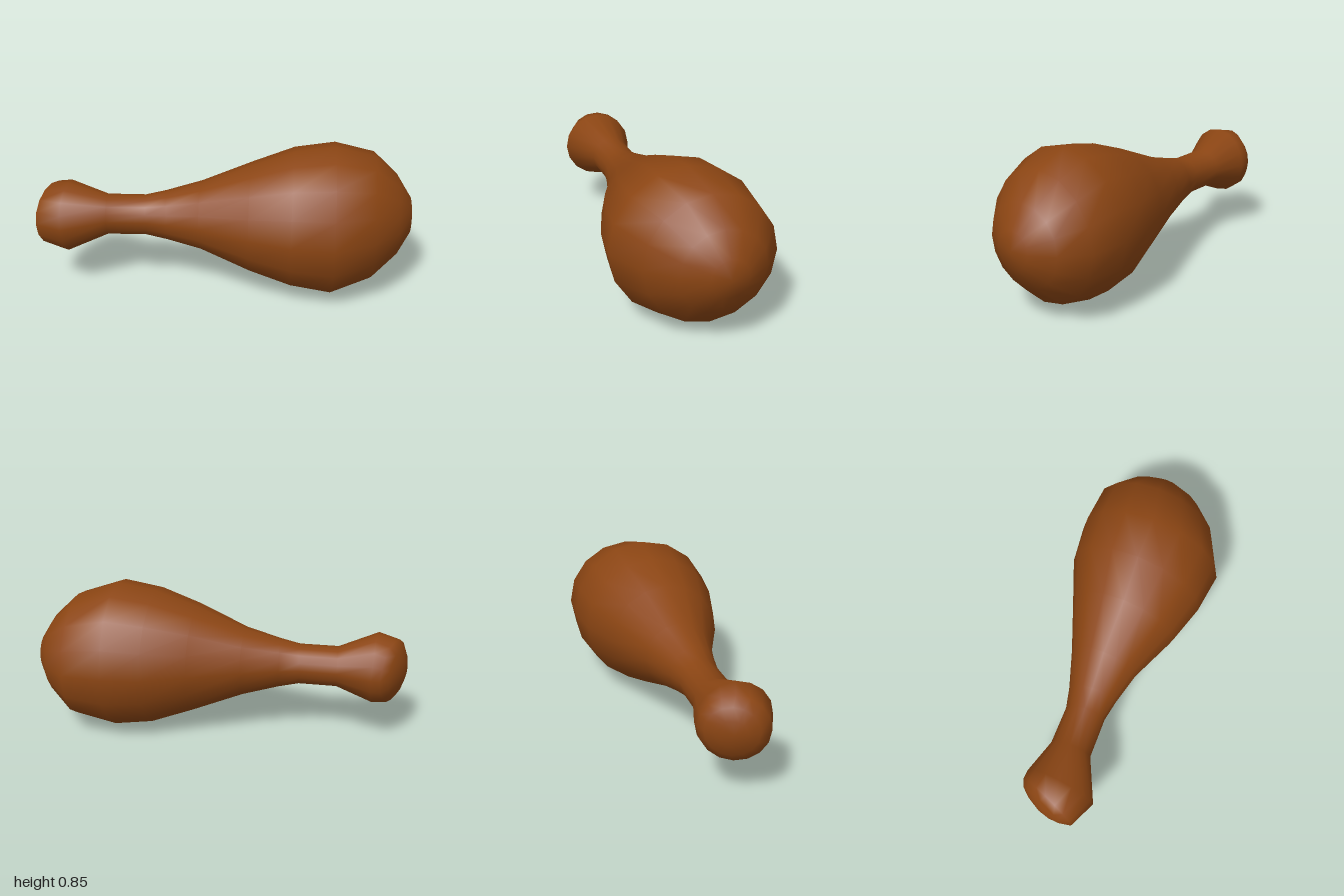
import * as THREE from 'three';
import { mergeVertices } from 'three/addons/utils/BufferGeometryUtils.js';

const SIDES = 16;
const CENTRE_Y = 0.427;

// Cross-sections from knuckle to meaty end:
// [front edge x, z, back edge x, z, vertical radius]
const RINGS = [
  [-1.0, 0.36, -1.0, 0.36, 0], // knuckle tip
  [-0.997, 0.43, -0.98, 0.27, 0.07],
  [-0.98, 0.49, -0.955, 0.215, 0.132],
  [-0.95, 0.545, -0.92, 0.185, 0.18],
  [-0.79, 0.565, -0.87, 0.172, 0.2], // widest part of the knuckle
  [-0.6, 0.39, -0.67, 0.172, 0.114], // thin shank
  [-0.39, 0.32, -0.47, 0.11, 0.114],
  [-0.27, 0.305, -0.37, 0.05, 0.14],
  [-0.08, 0.295, -0.19, -0.08, 0.195],
  [0.22, 0.328, 0.05, -0.27, 0.31],
  [0.46, 0.328, 0.25, -0.43, 0.393],
  [0.69, 0.29, 0.45, -0.52, 0.427], // fullest part of the meat
  [0.87, 0.12, 0.67, -0.57, 0.36],
  [0.965, -0.05, 0.83, -0.5, 0.228],
  [1.0, -0.2, 0.94, -0.4, 0.105],
  [0.985, -0.305, 0.985, -0.305, 0], // rounded tip
];

// Skin a row of tilted elliptical rings with smooth, shared vertices
function loftRings(rings) {
  const positions = [];
  const index = [];
  rings.forEach(([ax, az, bx, bz, ry], i) => {
    for (let j = 0; j < SIDES; j++) {
      const a = (j / SIDES) * Math.PI * 2;
      const c = Math.cos(a) / 2;
      positions.push(
        (ax + bx) / 2 + (ax - bx) * c,
        CENTRE_Y + Math.sin(a) * ry,
        (az + bz) / 2 + (az - bz) * c
      );
      if (i === rings.length - 1) continue;
      const k = (j + 1) % SIDES;
      const p = i * SIDES + j, q = i * SIDES + k;
      if (i < rings.length - 2) index.push(p, p + SIDES, q + SIDES);
      else index.push(p, p + SIDES, q);
      if (i > 0 && i < rings.length - 2) index.push(p, q + SIDES, q);
    }
  });
  const geometry = new THREE.BufferGeometry();
  geometry.setAttribute('position', new THREE.Float32BufferAttribute(positions, 3));
  geometry.setIndex(index);
  const merged = mergeVertices(geometry, 1e-5);
  merged.computeVertexNormals();
  return merged;
}

export function createModel() {
  const group = new THREE.Group();
  group.name = 'drumstick';
  const material = new THREE.MeshStandardMaterial({ color: 0x8b4513 });
  const leg = new THREE.Mesh(loftRings(RINGS), material);
  leg.name = 'roastedLeg';
  group.add(leg);
  return group;
}
